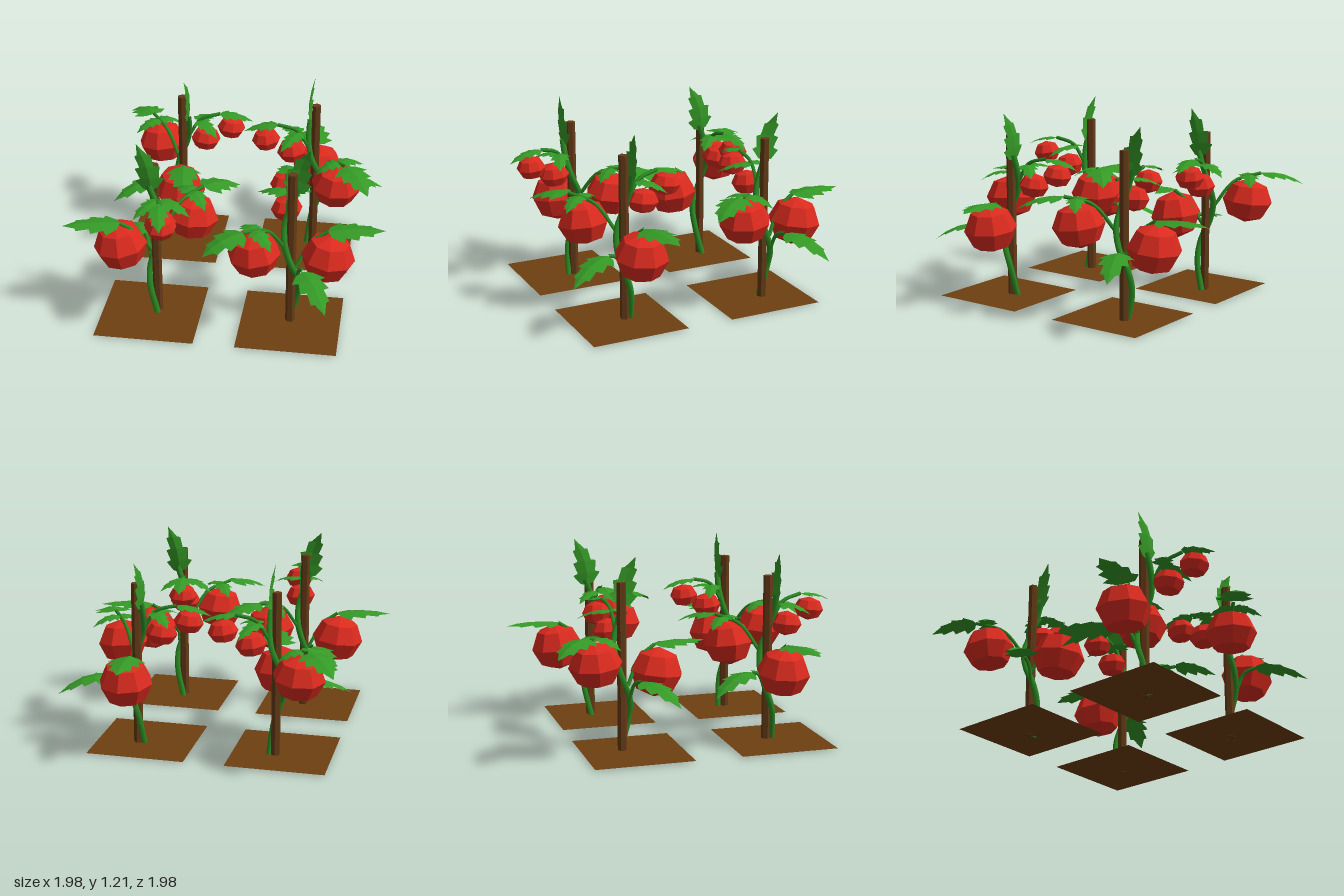
import * as THREE from 'three';

const V = (x, y, z) => new THREE.Vector3(x, y, z);
const UP = V(0, 1, 0);
const mat = (name, color, flat, side = THREE.FrontSide) => {
  const m = new THREE.MeshStandardMaterial({ color, flatShading: flat, side });
  m.name = name;
  return m;
};

// Half outline of a lobed leaf: [along the midrib, share of half width]
const LOBES = [[0, 0.05], [0.05, 0.5], [0.24, 1], [0.28, 0.65], [0.5, 0.85],
  [0.53, 0.5], [0.76, 0.55], [0.78, 0.34], [1, 0]];

// Leaf swept along a bent midrib, sides folded slightly down
function leafGeometry(base, mid, tip, half, side) {
  const rib = new THREE.QuadraticBezierCurve3(base, mid, tip);
  const across = side || tip.clone().sub(base).cross(UP).normalize();
  const fold = across.clone().cross(tip.clone().sub(base)).normalize().multiplyScalar(-0.2);
  if (fold.y > 0) fold.negate();
  const pos = [], idx = [];
  for (const [u, w] of LOBES) {
    const c = rib.getPoint(u);
    for (const s of [-1, 0, 1]) {
      const p = c.clone().addScaledVector(across, s * w * half)
        .addScaledVector(fold, Math.abs(s) * w * half);
      pos.push(p.x, p.y, p.z);
    }
  }
  for (let i = 0; i < LOBES.length - 1; i++) {
    for (let j = 0; j < 2; j++) {
      const a = i * 3 + j;
      idx.push(a, a + 1, a + 3, a + 1, a + 4, a + 3);
    }
  }
  const g = new THREE.BufferGeometry();
  g.setAttribute('position', new THREE.Float32BufferAttribute(pos, 3));
  g.setIndex(idx);
  g.computeVertexNormals();
  return g;
}

// Stems: base on the main stem, arch, start of leaf, bend of leaf, leaf tip, half width
const BRANCHES = [
  { name: 'upperBranch', pts: [[-0.03, 0.56, -0.04], [-0.13, 0.73, -0.14], [-0.25, 0.78, -0.27]],
    bend: [-0.35, 0.8, -0.39], tip: [-0.43, 0.7, -0.49], half: 0.12,
    leaflets: [[[-0.2, 0.77, -0.21], [-0.34, 0.71, -0.09]], [[-0.2, 0.77, -0.21], [-0.06, 0.71, -0.3]]], w: 0.07 },
  { name: 'middleBranch', pts: [[-0.03, 0.42, 0.03], [0.02, 0.58, 0.12], [0.04, 0.655, 0.22]],
    bend: [0.07, 0.685, 0.4], tip: [0.1, 0.65, 0.57], half: 0.12, leaflets: [], w: 0 },
  { name: 'lowerBranch', pts: [[-0.03, 0.33, 0.04], [-0.08, 0.44, 0.06], [-0.15, 0.47, 0.09]],
    bend: [-0.31, 0.49, 0.18], tip: [-0.44, 0.36, 0.25], half: 0.11, leaflets: [], w: 0 },
  { name: 'topBranch', pts: [[0.04, 0.76, -0.03], [0.12, 0.88, -0.04], [0.25, 0.92, -0.06]],
    bend: [0.36, 0.93, -0.07], tip: [0.47, 0.86, -0.09], half: 0.075,
    leaflets: [[[0.1, 0.87, -0.04], [0.19, 0.81, -0.24]], [[0.1, 0.87, -0.04], [0.25, 0.81, 0.1]]], w: 0.07 },
];

// Fruit: centre, radius, half height
const FRUIT = [
  [[-0.18, 0.6, -0.21], 0.165, 0.145],
  [[0.015, 0.485, 0.225], 0.17, 0.158],
  [[0.15, 0.735, -0.05], 0.1, 0.08],
  [[0.32, 0.815, -0.08], 0.095, 0.075],
];

export function createModel() {
  const soil = mat('soilBrown', 0x6e4010, true, THREE.DoubleSide);
  const wood = mat('stakeBrown', 0x633a16, true);
  const stemGreen = mat('stemGreen', 0x2a8a22, false);
  const leafGreen = mat('leafGreen', 0x359a26, true, THREE.DoubleSide);
  const red = mat('fruitRed', 0xdb2a1e, true);

  const mesh = (parent, name, geo, material) => {
    const m = new THREE.Mesh(geo, material);
    m.name = name;
    parent.add(m);
    return m;
  };
  const tube = (pts, r, n) =>
    new THREE.TubeGeometry(new THREE.CatmullRomCurve3(pts.map((p) => V(...p))), n, r, 6);

  function makePlant() {
    const plant = new THREE.Group();
    // Support stake
    mesh(plant, 'stake', new THREE.CylinderGeometry(0.03, 0.03, 1.06, 6), wood).position.y = 0.53;
    // Main stem winding round the stake
    mesh(plant, 'stem', tube([[0.04, 0, 0], [0.02, 0.2, 0.045], [-0.02, 0.33, 0.045],
      [-0.045, 0.45, 0], [-0.03, 0.58, -0.04], [0.02, 0.7, -0.045],
      [0.045, 0.82, -0.01], [0.045, 0.94, 0.03]], 0.02, 32), stemGreen);
    // Upright leaf at the top
    mesh(plant, 'crownLeaf', leafGeometry(V(0.045, 0.9, 0.02), V(0.075, 1.06, 0.01),
      V(0.03, 1.21, 0.1), 0.09, V(0, 0.15, -1).normalize()), leafGreen);
    // Branches with their leaves
    for (const b of BRANCHES) {
      mesh(plant, b.name, tube(b.pts, 0.012, 10), stemGreen);
      mesh(plant, b.name + 'Leaf',
        leafGeometry(V(...b.pts[2]), V(...b.bend), V(...b.tip), b.half), leafGreen);
      for (const [from, to] of b.leaflets) {
        const a = V(...from), t = V(...to);
        const bend = a.clone().lerp(t, 0.5);
        bend.y += 0.05;
        mesh(plant, b.name + 'Leaflet', leafGeometry(a, bend, t, b.w), leafGreen);
      }
    }
    // Faceted fruit
    FRUIT.forEach(([c, r, h], i) => {
      const f = mesh(plant, 'fruit' + (i + 1), new THREE.SphereGeometry(1, 8, 4), red);
      f.scale.set(r, h, r);
      f.position.set(...c);
      f.rotation.y = -Math.atan2(c[2], c[0]);
      f.rotation.z = -0.12;
    });
    return plant;
  }

  const model = new THREE.Group();
  // Position of each plant, turn, and centre of its soil square
  const beds = [
    ['backLeftBed', -0.425, -0.42, 0, -0.465, -0.365],
    ['backRightBed', 0.475, -0.41, Math.PI - 0.09, 0.425, -0.365],
    ['frontLeftBed', -0.43, 0.53, -Math.PI / 2 + 0.05, -0.465, 0.565],
    ['frontRightBed', 0.42, 0.535, Math.PI / 2, 0.425, 0.565],
  ];
  for (const [name, x, z, turn, sx, sz] of beds) {
    const bed = new THREE.Group();
    bed.name = name;
    const ground = mesh(bed, 'soil', new THREE.PlaneGeometry(0.63, 0.63), soil);
    ground.rotation.x = -Math.PI / 2;
    ground.position.set(sx, 0.003, sz);
    const plant = makePlant();
    plant.name = 'plant';
    plant.position.set(x, 0, z);
    plant.rotation.y = turn;
    bed.add(plant);
    model.add(bed);
  }
  return model;
}
